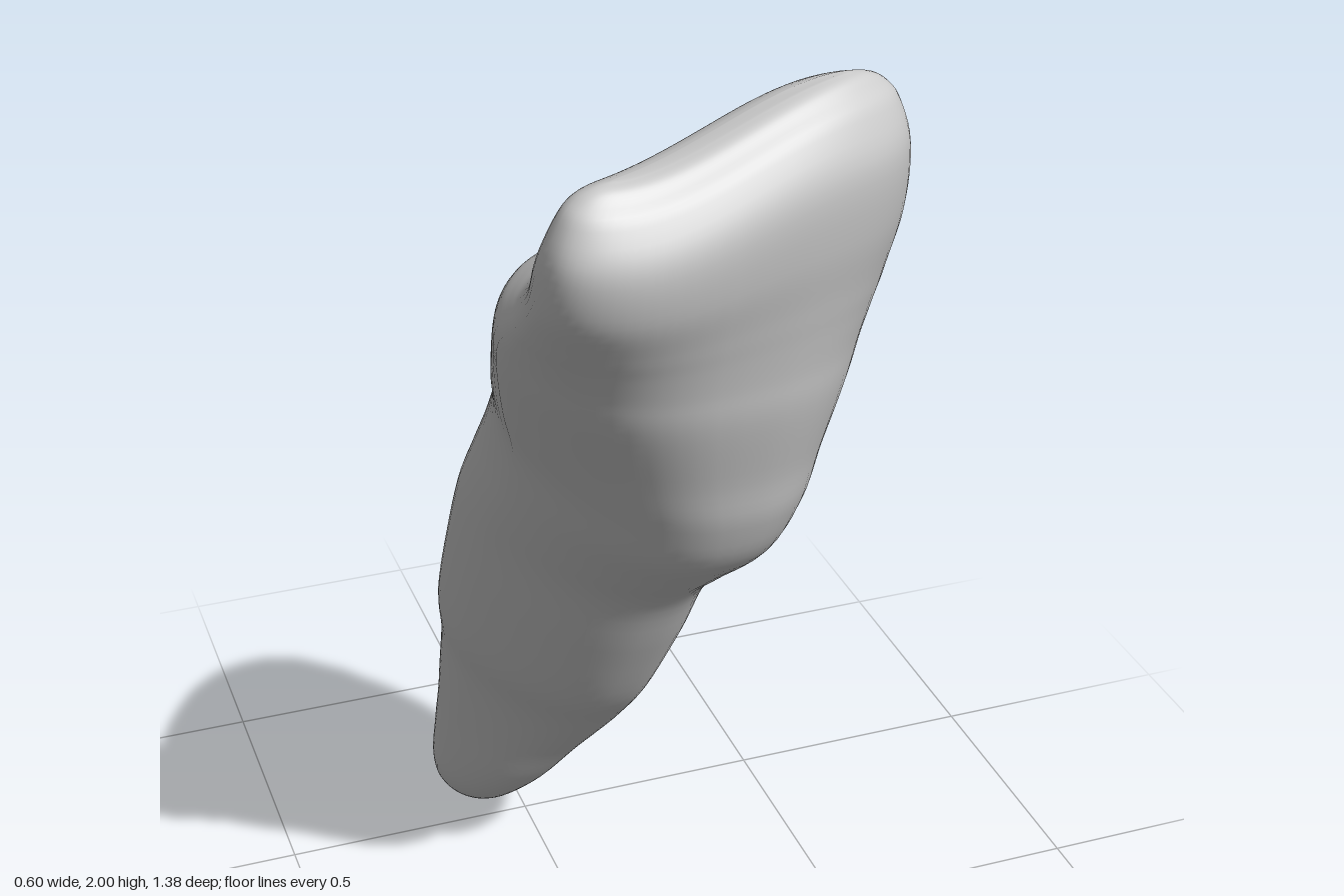
import * as THREE from 'three';

// Level sections from root tip to biting edge: [y, front z, back z, min x, max x]
const SECTIONS = [
  [0.0, -0.62, -0.63, -0.09, -0.08],
  [0.02, -0.56, -0.67, -0.13, -0.04],
  [0.06, -0.48, -0.685, -0.16, -0.01],
  [0.12, -0.4, -0.69, -0.177, 0.012],
  [0.22, -0.3, -0.665, -0.18, 0.045],
  [0.35, -0.2, -0.61, -0.18, 0.08],
  [0.5, -0.075, -0.57, -0.183, 0.125],
  [0.62, 0.03, -0.55, -0.2, 0.145],
  [0.8, 0.145, -0.47, -0.205, 0.17],
  [0.95, 0.235, -0.39, -0.205, 0.182],
  [1.05, 0.34, -0.325, -0.203, 0.2],
  [1.15, 0.45, -0.265, -0.203, 0.227],
  [1.25, 0.505, -0.2, -0.213, 0.246],
  [1.35, 0.54, -0.145, -0.242, 0.258],
  [1.48, 0.597, -0.07, -0.275, 0.277],
  [1.55, 0.62, -0.015, -0.287, 0.287],
  [1.61, 0.638, 0.08, -0.293, 0.294],
  [1.67, 0.655, 0.185, -0.298, 0.298],
  [1.77, 0.68, 0.325, -0.303, 0.3],
  [1.88, 0.69, 0.41, -0.3, 0.288],
  [1.95, 0.66, 0.465, -0.28, 0.265],
  [1.98, 0.63, 0.5, -0.258, 0.24],
  [1.995, 0.61, 0.535, -0.23, 0.21],
  [2.0, 0.585, 0.56, -0.2, 0.18],
];

const AROUND = 64;
const RINGS = 5 * (SECTIONS.length - 1);
const smooth = (v, a, b) => THREE.MathUtils.smoothstep(v, a, b);
const power = (v, p) => Math.sign(v) * Math.abs(v) ** p;
const spline = (pick) => new THREE.CatmullRomCurve3(
  SECTIONS.map((s) => new THREE.Vector3(...pick(s))), false, 'catmullrom', 0.5);

function toothGeometry() {
  const depthCurve = spline((s) => [s[1], s[0], s[2]]);
  const widthCurve = spline((s) => [s[3], s[0], s[4]]);
  const positions = [];
  const indices = [];
  for (let i = 0; i <= RINGS; i++) {
    const d = depthCurve.getPoint(i / RINGS);
    const w = widthCurve.getPoint(i / RINGS);
    const crown = smooth(d.y, 1.0, 1.6);
    const cx = (w.x + w.z) / 2;
    const cz = (d.x + d.z) / 2;
    const width = (w.z - w.x) / 2;
    // The biting edge is turned a little about the vertical
    const turn = 0.2 * smooth(d.y, 1.25, 1.8);
    const depth = (d.x - d.z) / 2 * (1 - 0.5 * turn);
    // The back ridge of the root leans toward -x
    const lean = 0.045 * smooth(d.y, 0.1, 0.5) * (1 - 0.6 * crown);
    // Narrowing toward the back, stronger on the crown and on the +x side
    const bulge = crown * (1 - smooth(d.y, 1.6, 1.85));
    const taperRight = 0.2 + 0.28 * bulge;
    const taperLeft = 0.06 + 0.26 * bulge;
    const taperFront = 0.12 * (1 - crown);
    const p = 2 / (2.2 + 0.4 * crown);
    for (let j = 0; j < AROUND; j++) {
      const a = (j / AROUND) * Math.PI * 2;
      const X = power(Math.cos(a), p);
      const Z = power(Math.sin(a), p);
      const taper = Z > 0 ? taperFront : X > 0 ? taperRight : taperLeft;
      const x = cx + (width - lean * 0.12) * X * (1 - taper * Math.abs(Z)) + lean * Z;
      const z = cz + depth * Z - turn * (x - cx);
      // The biting edge slopes down toward -x
      const y = d.y - 0.085 * smooth(-x, -0.18, 0.2) * smooth(d.y, 1.5, 1.97);
      positions.push(x, y, z);
    }
  }
  for (let i = 0; i < RINGS; i++) {
    for (let j = 0; j < AROUND; j++) {
      const k = (j + 1) % AROUND;
      const a = i * AROUND + j, b = i * AROUND + k;
      const c = a + AROUND, e = b + AROUND;
      indices.push(a, c, b, b, c, e);
    }
  }
  // Close the root tip and the biting edge with strips across
  const top = RINGS * AROUND;
  for (let j = 0; j < AROUND / 2; j++) {
    const m = (AROUND - j) % AROUND, n = AROUND - j - 1;
    indices.push(j, j + 1, n, j, n, m);
    indices.push(top + j, top + n, top + j + 1, top + j, top + m, top + n);
  }
  const geometry = new THREE.BufferGeometry();
  geometry.setAttribute('position', new THREE.Float32BufferAttribute(positions, 3));
  geometry.setIndex(indices);
  geometry.computeVertexNormals();
  return geometry;
}

export function createModel() {
  const group = new THREE.Group();
  group.name = 'incisorTooth';
  const material = new THREE.MeshStandardMaterial({ color: 0xcccccc });
  material.name = 'plain grey';
  const tooth = new THREE.Mesh(toothGeometry(), material);
  tooth.name = 'toothCrownAndRoot';
  group.add(tooth);
  return group;
}
